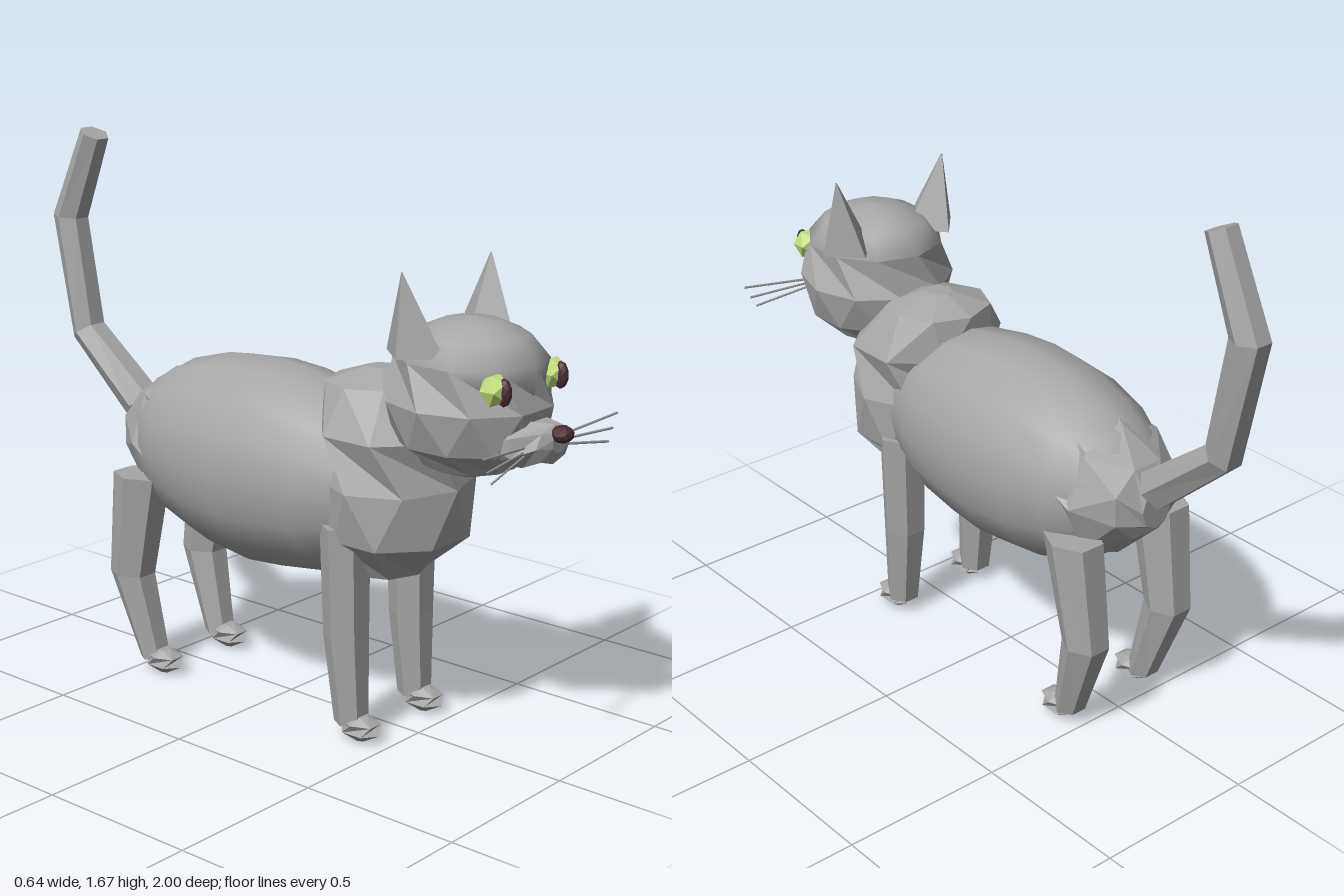
import * as THREE from 'three';

const grey = new THREE.MeshStandardMaterial({ color: 0xa6a6a6 });
grey.name = 'greyFur';
const green = new THREE.MeshStandardMaterial({ color: 0xc2e07c });
green.name = 'eyeGreen';
const dark = new THREE.MeshStandardMaterial({ color: 0x4a2c32 });
dark.name = 'darkMaroon';

// Skin elliptical rings [x, y, z, rx, rv, tilt, twist]. tilt 0 lays a ring flat, PI/2 stands it up.
function loft(rings, sides, smooth = false) {
  const pos = [], idx = [];
  for (const [x, y, z, rx, rv, tilt = 0, twist = 0] of rings) {
    for (let i = 0; i < sides; i++) {
      const a = (i / sides) * Math.PI * 2 + twist;
      const v = rv * Math.sin(a);
      pos.push(x + rx * Math.cos(a), y + v * Math.sin(tilt), z + v * Math.cos(tilt));
    }
  }
  const n = rings.length, first = n * sides, last = first + 1;
  pos.push(...rings[0].slice(0, 3), ...rings[n - 1].slice(0, 3));
  for (let i = 0; i < sides; i++) {
    const j = (i + 1) % sides, top = (n - 1) * sides;
    for (let r = 0; r < n - 1; r++) {
      const a = r * sides + i, b = r * sides + j;
      idx.push(a, a + sides, b, b, a + sides, b + sides);
    }
    idx.push(first, i, j, last, top + j, top + i);
  }
  // Turn all faces outward, judged by the signed volume
  let volume = 0;
  const p = (k) => new THREE.Vector3().fromArray(pos, k * 3);
  for (let k = 0; k < idx.length; k += 3) volume += p(idx[k]).dot(p(idx[k + 1]).cross(p(idx[k + 2])));
  if (volume < 0) idx.reverse();
  let geo = new THREE.BufferGeometry();
  geo.setAttribute('position', new THREE.Float32BufferAttribute(pos, 3));
  geo.setIndex(idx);
  if (!smooth) geo = geo.toNonIndexed();
  geo.computeVertexNormals();
  return geo;
}

// Flat-faced ellipsoid
function blob(x, y, z, rx, ry, rz, detail) {
  const g = new THREE.IcosahedronGeometry(1, detail).scale(rx, ry, rz).translate(x, y, z);
  g.computeVertexNormals();
  return g;
}

export function createModel() {
  const cat = new THREE.Group();
  cat.name = 'cat';
  const add = (name, geo, mat = grey) => {
    const m = new THREE.Mesh(geo, mat);
    m.name = name;
    cat.add(m);
  };
  const up = Math.PI / 2, t = Math.PI / 8, h = Math.PI / 10;

  // Smooth barrel body along z
  const body = [
    [0.45, 0.74, 0.12, 0.12], [0.35, 0.74, 0.2, 0.22], [0.2, 0.735, 0.245, 0.285],
    [0.05, 0.74, 0.265, 0.31], [-0.08, 0.74, 0.272, 0.32], [-0.25, 0.745, 0.26, 0.302],
    [-0.4, 0.75, 0.225, 0.255], [-0.5, 0.76, 0.175, 0.19], [-0.59, 0.77, 0.1, 0.1],
  ];
  add('body', loft(body.map(([z, y, rx, ry]) => [0, y, z, rx, ry, up]), 16, true));

  // Faceted hips tapering to the tail
  add('hips', loft([
    [0, 0.75, -0.3, 0.235, 0.28, up, t], [0, 0.755, -0.48, 0.2, 0.212, up],
    [0, 0.765, -0.59, 0.13, 0.12, up, t], [0, 0.755, -0.632, 0.055, 0.065, up],
  ], 8));

  // Faceted chest, rings turned by half a step for the zigzag edges
  add('chest', loft([
    [0, 1.1, 0.34, 0.04, 0.04], [0, 1.06, 0.335, 0.16, 0.15], [0, 0.93, 0.4, 0.245, 0.22, 0, t],
    [0, 0.78, 0.41, 0.245, 0.215], [0, 0.62, 0.42, 0.23, 0.2, 0, t], [0, 0.5, 0.37, 0.13, 0.12],
    [0, 0.47, 0.35, 0.04, 0.04],
  ], 8));

  // Head: faceted lower part and smooth crown sunk into it
  add('head', loft([
    [0, 1.18, 0.66, 0.21, 0.222, 0, h], [0, 1.06, 0.655, 0.237, 0.245], [0, 0.94, 0.66, 0.205, 0.215, 0, h],
    [0, 0.87, 0.66, 0.125, 0.135], [0, 0.838, 0.66, 0.03, 0.03, 0, h],
  ], 10));
  add('crown', loft([
    [0, 1.08, 0.66, 0.2, 0.21, 0, h], [0, 1.18, 0.66, 0.21, 0.222, 0, h], [0, 1.245, 0.66, 0.16, 0.165, 0, h],
    [0, 1.28, 0.66, 0.08, 0.085, 0, h], [0, 1.29, 0.66, 0.01, 0.01, 0, h],
  ], 10, true));

  // Muzzle and nose
  add('muzzle', loft([
    [0, 0.975, 0.8, 0.12, 0.08, up], [0, 0.972, 0.87, 0.112, 0.072, up, t], [0, 0.977, 0.94, 0.082, 0.056, up],
    [0, 0.985, 0.96, 0.035, 0.03, up, t],
  ], 8));
  add('nose', blob(0, 1.01, 0.967, 0.034, 0.025, 0.033, 1), dark);

  // Tail with mitred bends
  add('tail', loft([
    [0, 0.82, -0.63, 0.062, 0.066, 0.9], [0, 1.025, -0.875, 0.058, 0.055, 0.55],
    [0, 1.39, -0.947, 0.054, 0.06, -0.05], [0, 1.665, -0.826, 0.048, 0.046, -0.4],
  ], 6));

  // Paired parts
  for (const [side, s] of [['left', 1], ['right', -1]]) {
    add(side + 'Ear', loft([
      [s * 0.162, 1.2, 0.59, 0.087, 0.1], [s * 0.203, 1.43, 0.572, 0.002, 0.002],
    ], 4));
    add(side + 'Eye', blob(s * 0.135, 1.135, 0.838, 0.044, 0.05, 0.044, 0), green);
    add(side + 'Pupil', blob(s * 0.133, 1.133, 0.866, 0.017, 0.04, 0.025, 1), dark);

    add(side + 'FrontLeg', loft([
      [s * 0.155, 0.66, 0.34, 0.077, 0.073], [s * 0.152, 0.32, 0.345, 0.067, 0.068],
      [s * 0.15, 0.055, 0.365, 0.05, 0.052],
    ], 6));
    add(side + 'HindLeg', loft([
      [s * 0.17, 0.655, -0.47, 0.08, 0.098], [s * 0.165, 0.32, -0.525, 0.068, 0.075],
      [s * 0.15, 0.05, -0.445, 0.05, 0.047],
    ], 6));
    for (const [name, z] of [['Front', 0.4], ['Hind', -0.405]]) {
      add(side + name + 'Paw', loft([
        [s * 0.15, 0.008, z, 0.015, 0.02], [s * 0.15, 0.035, z, 0.05, 0.068, 0, 0.5],
        [s * 0.15, 0.065, z, 0.05, 0.068], [s * 0.15, 0.085, z, 0.022, 0.025, 0, 0.5],
      ], 6));
    }

    // Whiskers fan out from the muzzle
    for (const [x, y, y0] of [[0.32, 1.0, 0.975], [0.3, 0.96, 0.965], [0.28, 0.925, 0.955]]) {
      const path = new THREE.LineCurve3(
        new THREE.Vector3(s * 0.07, y0, 0.9), new THREE.Vector3(s * x, y, 0.935));
      add(side + 'Whisker', new THREE.TubeGeometry(path, 1, 0.004, 4));
    }
  }
  return cat;
}
